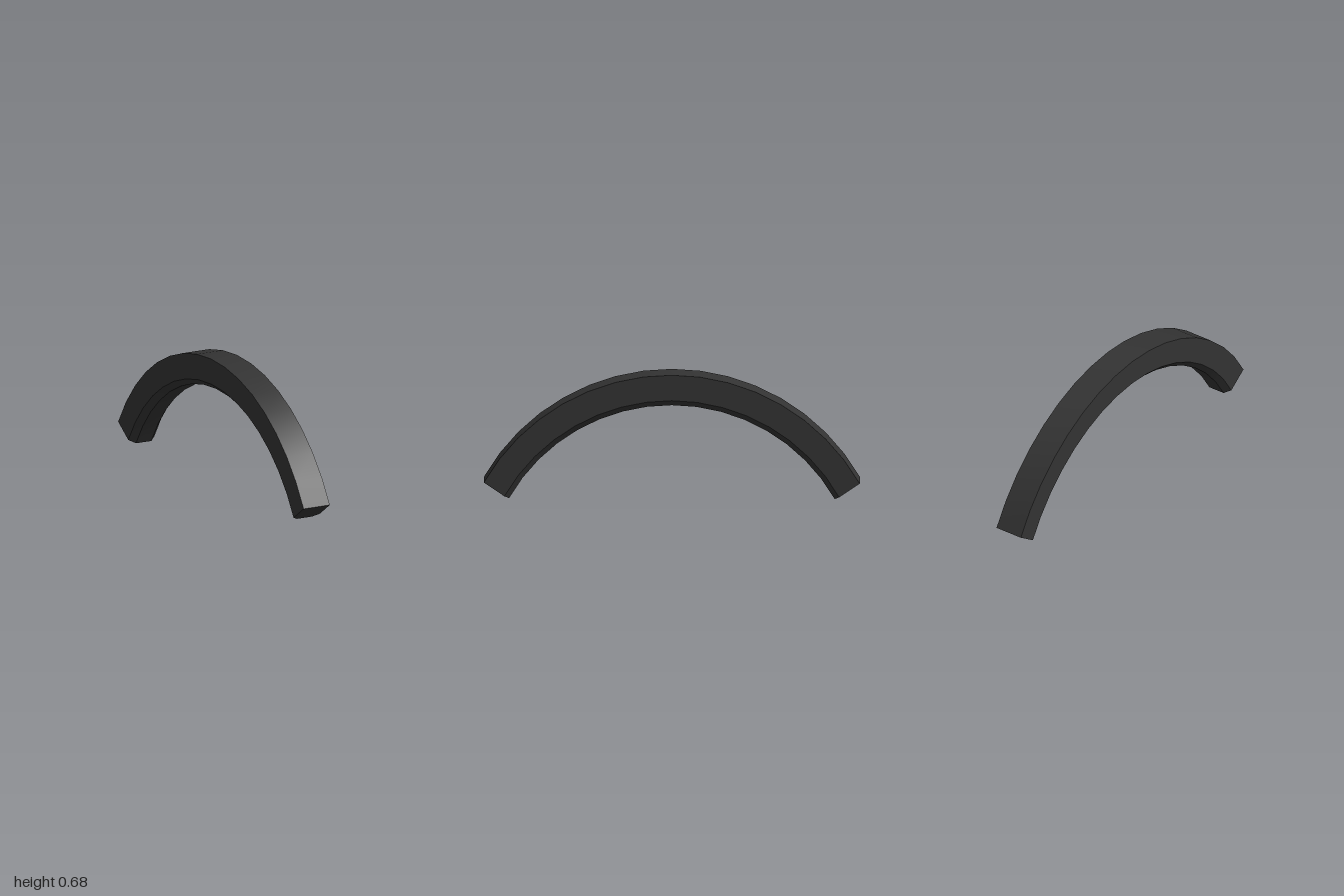
import * as THREE from 'three';
import { toCreasedNormals } from 'three/addons/utils/BufferGeometryUtils.js';

const SEGMENTS = 16;
const HALF_ANGLE = 1.062;
const OUTER = { radius: 1.145, y: -0.465 };
const INNER = { radius: 0.992, y: -0.482 };

// Cross-section: [x, depth from the outer face (0) to the inner face (1)]
const SECTION = [[-0.08, 0], [0.08, 0], [0.08, 0.815], [0.047, 1], [-0.047, 1], [-0.08, 0.815]];

function archGeometry() {
  const n = SECTION.length;
  const positions = [];
  const index = [];

  // One ring of the section per station along the arc
  for (let i = 0; i <= SEGMENTS; i++) {
    const angle = HALF_ANGLE * (2 * i / SEGMENTS - 1);
    for (const [x, depth] of SECTION) {
      const r = THREE.MathUtils.lerp(OUTER.radius, INNER.radius, depth);
      const y = THREE.MathUtils.lerp(OUTER.y, INNER.y, depth);
      positions.push(x, y + r * Math.cos(angle), r * Math.sin(angle));
    }
  }

  // Long faces
  for (let i = 0; i < SEGMENTS; i++) {
    for (let j = 0; j < n; j++) {
      const a = i * n + j;
      const b = i * n + (j + 1) % n;
      index.push(a, a + n, b, b, a + n, b + n);
    }
  }

  // End caps
  const last = SEGMENTS * n;
  for (let k = 1; k < n - 1; k++) {
    index.push(0, k, k + 1, last, last + k + 1, last + k);
  }

  const geometry = new THREE.BufferGeometry();
  geometry.setAttribute('position', new THREE.Float32BufferAttribute(positions, 3));
  geometry.setIndex(index);
  return toCreasedNormals(geometry, 0.5);
}

export function createModel() {
  const group = new THREE.Group();
  group.name = 'archedBar';
  const arch = new THREE.Mesh(archGeometry(), new THREE.MeshStandardMaterial({ color: 0x333333 }));
  arch.name = 'arch';
  group.add(arch);
  return group;
}
